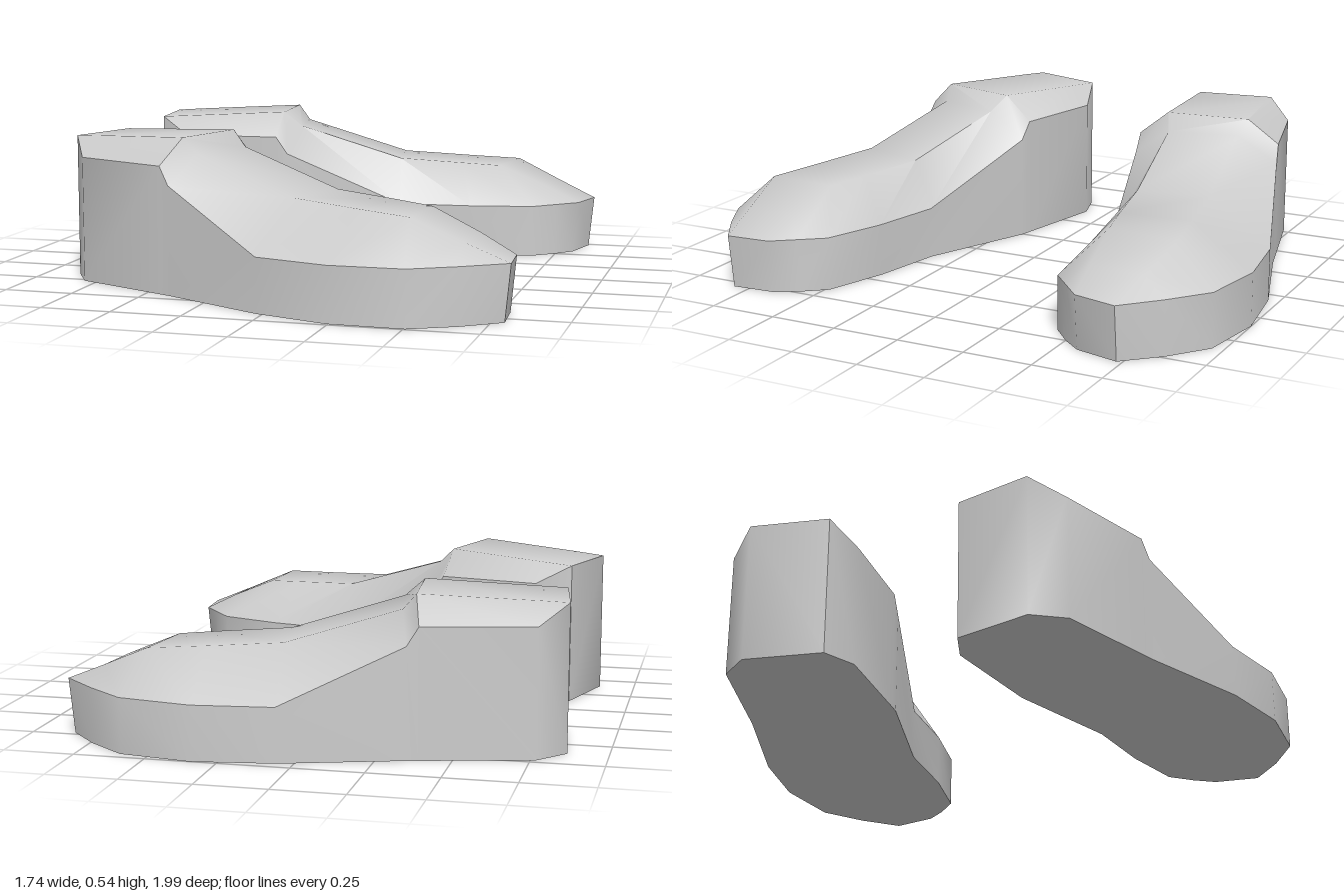
import * as THREE from 'three';
import { toCreasedNormals } from 'three/addons/utils/BufferGeometryUtils.js';

// Cross-sections from heel to toe, in x and z with heights:
// outer rim x z, inner rim x z, rim height, outer crown x z, inner crown x z, crown height
const SECTIONS = [
  [-0.86, 0.62, -0.82, 0.335, 0.515, -0.86, 0.62, -0.82, 0.335, 0.515], // heel back
  [-0.77, 0.725, -0.70, 0.275, 0.45, -0.76, 0.638, -0.70, 0.351, 0.521],
  [-0.39, 0.82, -0.33, 0.288, 0.45, -0.36, 0.71, -0.33, 0.40, 0.54], // collar edge
  [-0.35, 0.83, -0.285, 0.29, 0.385, -0.31, 0.69, -0.265, 0.43, 0.483], // step below collar
  [0.06, 0.96, 0.15, 0.39, 0.19, 0.09, 0.74, 0.13, 0.48, 0.36], // instep
  [0.34, 1.0, 0.43, 0.395, 0.192, 0.35, 0.78, 0.37, 0.52, 0.345],
  [0.60, 0.96, 0.67, 0.43, 0.194, 0.55, 0.81, 0.52, 0.55, 0.335], // toe crown
  [0.74, 0.85, 0.75, 0.50, 0.195, 0.72, 0.768, 0.70, 0.562, 0.26],
  [0.87, 0.73, 0.83, 0.57, 0.196, 0.87, 0.73, 0.83, 0.57, 0.196], // toe tip
];

const material = new THREE.MeshStandardMaterial({ color: 0xcccccc });

// Builds one shoe; side = -1 mirrors it across z.
function createShoe(name, side) {
  const shoe = new THREE.Group();
  shoe.name = name;
  const last = SECTIONS.length - 1;
  const P = (x, y, z) => [x, y, z * side];

  const rows = SECTIONS.map(([ox, oz, ix, iz, rimY, cox, coz, cix, ciz, crownY], i) => {
    const tuck = i === last ? 0.02 : 0;
    return {
      upper: [P(ox, rimY, oz), P(cox, crownY, coz), P(cix, crownY, ciz), P(ix, rimY, iz)],
      outerBase: P(ox - tuck, 0, oz),
      innerBase: P(ix - tuck, 0, iz),
    };
  });

  function addPart(partName, crease, fill) {
    const positions = [];
    const tri = (a, b, c) => {
      const v = [a, b, c].map((p) => new THREE.Vector3(...p));
      const area = v[1].clone().sub(v[0]).cross(v[2].clone().sub(v[0])).length();
      if (area > 1e-7) positions.push(...a, ...(side > 0 ? b : c), ...(side > 0 ? c : b));
    };
    fill((a, b, c, d) => { tri(a, b, c); tri(a, c, d); });
    const geometry = new THREE.BufferGeometry();
    geometry.setAttribute('position', new THREE.Float32BufferAttribute(positions, 3));
    const mesh = new THREE.Mesh(toCreasedNormals(geometry, crease), material);
    mesh.name = partName;
    shoe.add(mesh);
  }

  // Upper: rim to crown to crown to rim, lofted along the foot
  addPart('upper', 0.9, (quad) => {
    for (let i = 0; i < last; i++) {
      const a = rows[i].upper, b = rows[i + 1].upper;
      for (let j = 0; j < 3; j++) quad(a[j], b[j], b[j + 1], a[j + 1]);
    }
  });

  // Side wall: closed ring along the outer side, around the toe and back
  addPart('sideWall', 0.9, (quad) => {
    const ring = [
      ...rows.map((r) => [r.outerBase, r.upper[0]]),
      ...rows.map((r) => [r.innerBase, r.upper[3]]).reverse(),
    ];
    ring.forEach(([base, rim], i) => {
      const [nextBase, nextRim] = ring[(i + 1) % ring.length];
      quad(base, nextBase, nextRim, rim);
    });
  });

  // Flat sole
  addPart('sole', 0.5, (quad) => {
    for (let i = 0; i < last; i++) {
      const a = rows[i], b = rows[i + 1];
      quad(a.outerBase, a.innerBase, b.innerBase, b.outerBase);
    }
  });
  return shoe;
}

export function createModel() {
  const model = new THREE.Group();
  model.name = 'pairOfShoes';

  const nearShoe = createShoe('frontShoe', 1);
  nearShoe.rotation.y = -0.178; // toe turned outward
  nearShoe.position.set(0.086, 0, -0.057);

  const farShoe = createShoe('backShoe', -1);
  model.add(nearShoe, farShoe);
  return model;
}
